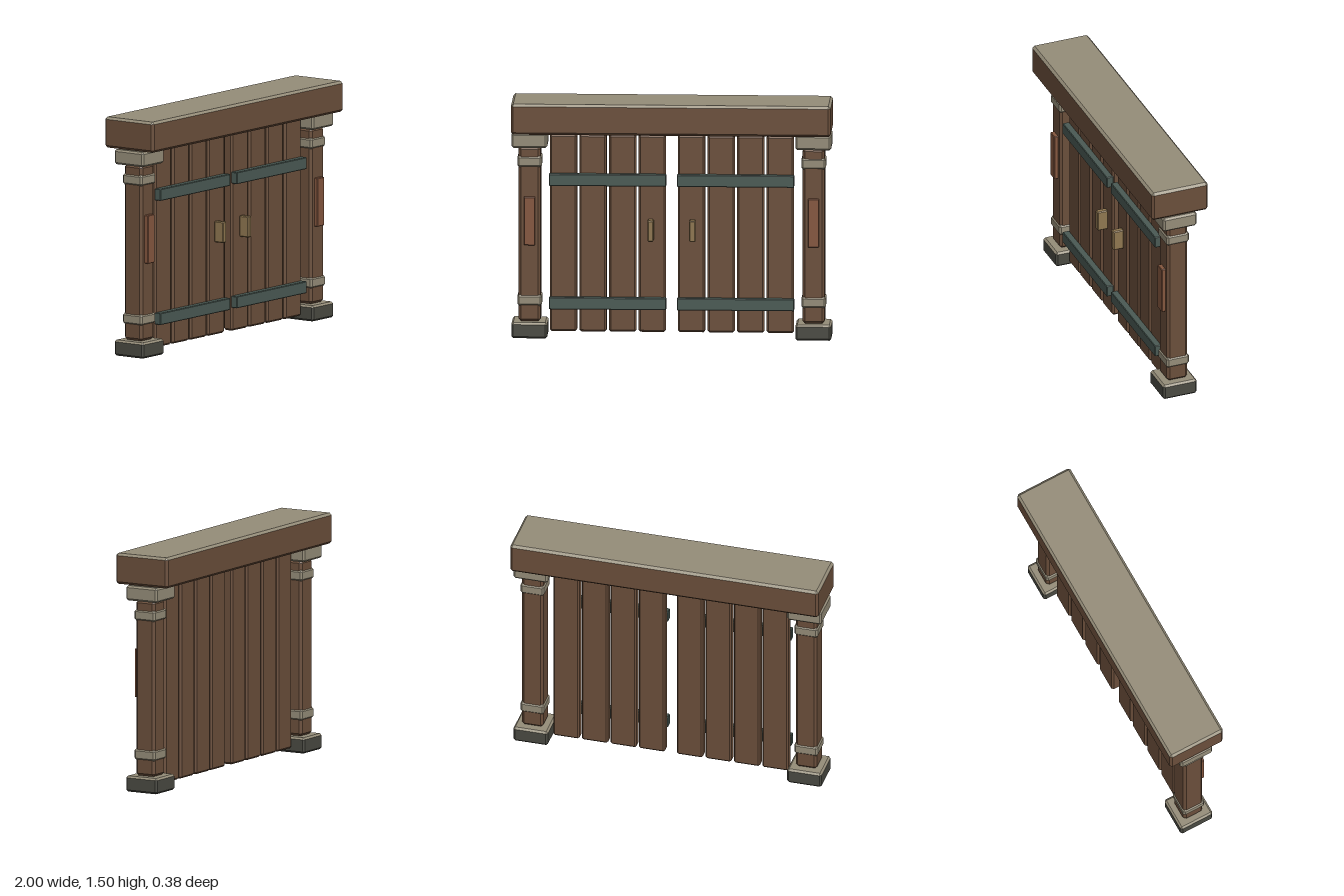
import * as THREE from 'three';
import { ConvexGeometry } from 'three/addons/geometries/ConvexGeometry.js';

const paint = (color) => new THREE.MeshStandardMaterial({ color });

// Box with all edges chamfered by c, flat faces
function chamferBox(w, h, d, c) {
  const pts = [];
  for (const x of [-1, 1]) for (const y of [-1, 1]) for (const z of [-1, 1]) {
    const X = w / 2, Y = h / 2, Z = d / 2;
    pts.push(
      new THREE.Vector3(x * X, y * (Y - c), z * (Z - c)),
      new THREE.Vector3(x * (X - c), y * Y, z * (Z - c)),
      new THREE.Vector3(x * (X - c), y * (Y - c), z * Z));
  }
  return new ConvexGeometry(pts);
}

// Keeps only the triangles whose normal passes the test
function pickFaces(geo, test) {
  const p = geo.attributes.position, n = geo.attributes.normal;
  const pos = [], nor = [];
  for (let i = 0; i < p.count; i++) {
    if (!test(n.getY(i - (i % 3)))) continue;
    pos.push(p.getX(i), p.getY(i), p.getZ(i));
    nor.push(n.getX(i), n.getY(i), n.getZ(i));
  }
  const out = new THREE.BufferGeometry();
  out.setAttribute('position', new THREE.Float32BufferAttribute(pos, 3));
  out.setAttribute('normal', new THREE.Float32BufferAttribute(nor, 3));
  return out;
}

export function createModel() {
  const root = new THREE.Group();
  root.name = 'gate';

  const wood = paint(0x6b4f3b);
  const stone = paint(0x958d79);
  const darkStone = paint(0x4a4a42);
  const iron = paint(0x4a5a54);
  const plaqueWood = paint(0x85573f);
  const brass = paint(0x8f7750);

  // Adds a chamfered block spanning y0..y1 and z0..z1, centred on x
  function block(parent, name, mat, x, w, [y0, y1], [z0, z1], c, topMat) {
    const geo = chamferBox(w, y1 - y0, z1 - z0, c);
    const add = (g, m, label) => {
      const mesh = new THREE.Mesh(g, m);
      mesh.name = label;
      mesh.position.set(x, (y0 + y1) / 2, (z0 + z1) / 2);
      parent.add(mesh);
    };
    if (!topMat) return add(geo, mat, name);
    add(pickFaces(geo, (ny) => ny <= 0.5), mat, name);
    add(pickFaces(geo, (ny) => ny > 0.5), topMat, name + 'Top');
  }

  // Lintel with a pale top surface
  block(root, 'lintel', wood, 0, 2, [1.31, 1.505], [-0.19, 0.19], 0.015, stone);

  for (const side of [-1, 1]) {
    const label = side > 0 ? 'left' : 'right';

    // Post with foot, capital, two bands and a front plaque
    const post = new THREE.Group();
    post.name = label + 'Post';
    root.add(post);
    const px = side * 0.888;
    block(post, 'foot', darkStone, px, 0.224, [0, 0.1], [-0.114, 0.114], 0.012, stone);
    block(post, 'shaft', wood, px, 0.138, [0.1, 1.212], [-0.069, 0.069], 0.016);
    block(post, 'capital', stone, px, 0.224, [1.212, 1.306], [-0.114, 0.114], 0.012);
    for (const y of [0.2, 1.083])
      block(post, 'band', stone, px, 0.153, [y, y + 0.07], [-0.076, 0.076], 0.012);
    block(post, 'plaque', plaqueWood, px, 0.07, [0.59, 0.897], [0.06, 0.095], 0.004);

    // Door leaf: four planks, two straps and a handle
    const door = new THREE.Group();
    door.name = label + 'Door';
    root.add(door);
    for (let i = 0; i < 4; i++)
      block(door, 'plank', wood, side * (0.123 + i * 0.185), 0.171, [0.032, 1.285], [-0.035, 0.035], 0.012);
    for (const y of [0.18, 0.966])
      block(door, 'strap', iron, side * 0.4, 0.732, [y, y + 0.075], [0.03, 0.076], 0.004);
    block(door, 'handle', brass, side * 0.131, 0.038, [0.62, 0.754], [0.034, 0.105], 0.006);
  }
  return root;
}
